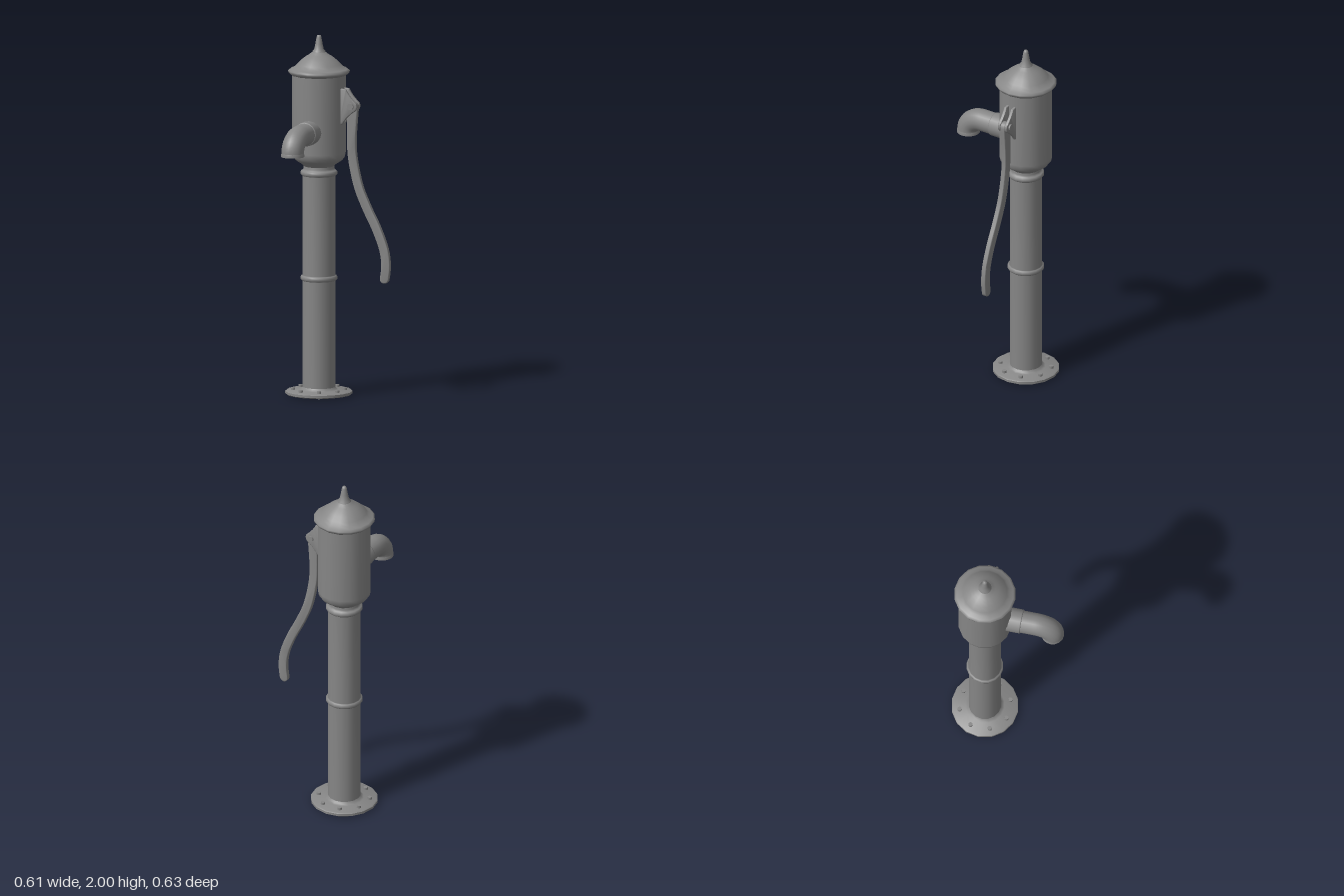
import * as THREE from 'three';
import { toCreasedNormals } from 'three/addons/utils/BufferGeometryUtils.js';

const AX = -0.12, AZ = -0.13; // axis of the column
const material = new THREE.MeshStandardMaterial({ color: 0x868686 });
const doubleSided = new THREE.MeshStandardMaterial({ color: 0x868686, side: THREE.DoubleSide });

function add(parent, name, geometry, x = 0, y = 0, z = 0, mat = material) {
  const mesh = new THREE.Mesh(geometry, mat);
  mesh.name = name;
  mesh.position.set(x, y, z);
  parent.add(mesh);
}

// Smooth turned part
function lathe(points) {
  return new THREE.LatheGeometry(points.map(([r, y]) => new THREE.Vector2(r, y)), 16);
}

// Rounded bead around a tube of radius r
function bead(r, y, h, out) {
  const pts = [];
  for (let i = 0; i <= 6; i++) {
    const a = -Math.PI / 2 + (i / 6) * Math.PI;
    pts.push([r + Math.cos(a) * out, y + Math.sin(a) * h]);
  }
  return pts;
}

// Outline of a strip of varying width along a curve, rounded at both ends
function stripShape(points, width) {
  const curve = new THREE.SplineCurve(points.map(([x, y]) => new THREE.Vector2(x, y)));
  const left = [], right = [], n = 36;
  for (let i = 0; i <= n; i++) {
    const t = i / n, p = curve.getPoint(t), d = curve.getTangent(t), w = width(t);
    left.push(new THREE.Vector2(p.x - d.y * w, p.y + d.x * w));
    right.unshift(new THREE.Vector2(p.x + d.y * w, p.y - d.x * w));
  }
  const cap = (t) => {
    const p = curve.getPoint(t), d = curve.getTangent(t), w = width(t), out = [];
    const start = Math.atan2(d.x, -d.y) + (t === 1 ? 0 : Math.PI);
    for (let i = 1; i < 8; i++) {
      const a = start - (i / 8) * Math.PI;
      out.push(new THREE.Vector2(p.x + Math.cos(a) * w, p.y + Math.sin(a) * w));
    }
    return out;
  };
  return new THREE.Shape([...left, ...cap(1), ...right, ...cap(0)]);
}

// Flat plate with softened edges
function slab(shape, depth, bevel) {
  const g = new THREE.ExtrudeGeometry(shape, {
    depth: depth - 2 * bevel, bevelEnabled: true, bevelThickness: bevel,
    bevelSize: bevel, bevelOffset: -bevel, bevelSegments: 2, curveSegments: 10,
  });
  g.translate(0, 0, -depth / 2 + bevel);
  return toCreasedNormals(g, 1);
}

export function createModel() {
  const model = new THREE.Group();
  model.name = 'handPump';

  // Base flange and hollow column with beads
  const column = new THREE.Group();
  column.name = 'column';
  column.position.set(AX, 0, AZ);
  model.add(column);
  add(column, 'baseFlange', toCreasedNormals(lathe([
    [0.084, 0.06], [0.09, 0.03], [0.112, 0.005], [0.178, 0.005], [0.185, 0.01], [0.185, 0.023],
    [0.178, 0.028], [0.108, 0.03], [0.097, 0.036], [0.09, 0.046],
  ]), 0.9));
  add(column, 'pipe', lathe([
    [0.09, 0.03], ...bead(0.09, 0.652, 0.016, 0.012), ...bead(0.09, 1.235, 0.016, 0.012),
    [0.084, 1.26], [0.084, 1.29],
  ]));
  add(column, 'pipeLining', lathe([[0, 1.2], [0.084, 1.2], [0.084, 0.05]]));
  for (let i = 0; i < 8; i++) {
    const a = ((i + 0.5) / 8) * Math.PI * 2;
    add(column, 'flangeBolt', new THREE.CylinderGeometry(0.012, 0.014, 0.042, 8),
      Math.sin(a) * 0.142, 0.021, Math.cos(a) * 0.142);
  }

  // Pump barrel, domed cap and finial
  add(column, 'barrel', lathe([
    [0.08, 1.268], [0.09, 1.279], [0.105, 1.291], [0.128, 1.305], [0.142, 1.323],
    [0.147, 1.35], [0.147, 1.785],
  ]));
  add(column, 'cap', lathe([
    [0.14, 1.776], [0.155, 1.78], [0.167, 1.791], [0.17, 1.803], [0.158, 1.812],
    [0.137, 1.82], [0.123, 1.837], [0.1, 1.86], [0.077, 1.878], [0.06, 1.888],
    [0.046, 1.898], [0.036, 1.906],
  ]));
  add(column, 'finial', lathe([
    [0.038, 1.898], [0.036, 1.91], [0.026, 1.922], [0.02, 1.95], [0.014, 1.985], [0.01, 1.997], [0, 2],
  ]));

  // Spout with collar, bent tube and open mouth
  const spout = new THREE.Group();
  spout.name = 'spout';
  spout.position.set(AX, 1.475, 0);
  model.add(spout);
  const collar = lathe([[0.067, -0.04], [0.067, 0.072], [0.066, 0.077], [0.06, 0.078]]);
  add(spout, 'spoutCollar', collar.rotateX(Math.PI / 2));
  const path = new THREE.CurvePath();
  const v = (y, z) => new THREE.Vector3(0, y, z);
  path.add(new THREE.LineCurve3(v(0, 0), v(0, 0.15)));
  path.add(new THREE.CubicBezierCurve3(v(0, 0.15), v(0, 0.207), v(-0.035, 0.249), v(-0.08, 0.249)));
  path.add(new THREE.LineCurve3(v(-0.08, 0.249), v(-0.095, 0.249)));
  add(spout, 'spoutTube', new THREE.TubeGeometry(path, 28, 0.062, 16));
  add(spout, 'spoutLining', new THREE.TubeGeometry(path, 28, 0.052, 16), 0, 0, 0, doubleSided);
  add(spout, 'spoutLip', toCreasedNormals(lathe([
    [0.052, -0.08], [0.052, -0.097], [0.064, -0.097], [0.064, -0.085], [0.062, -0.078],
  ]), 0.9), 0, 0, 0.249);

  // Twin-plate bracket carrying the handle pivot
  const bracket = new THREE.Group();
  bracket.name = 'handleBracket';
  bracket.position.z = AZ;
  model.add(bracket);
  const plate = new THREE.Shape();
  plate.moveTo(0.01, 1.515);
  plate.lineTo(0.03, 1.515);
  plate.quadraticCurveTo(0.045, 1.545, 0.09, 1.583);
  plate.absarc(0.08, 1.617, 0.035, -1.2, 0.5, false);
  plate.quadraticCurveTo(0.07, 1.67, 0.05, 1.71);
  plate.lineTo(0.01, 1.715);
  plate.closePath();
  for (const s of [-1, 1]) {
    add(bracket, 'bracketPlate', slab(plate, 0.016, 0.004), 0, 0, s * 0.022);
    const head = new THREE.CylinderGeometry(0.018, 0.018, 0.011, 12).rotateX(Math.PI / 2);
    add(bracket, 'pivotHead', head, 0.08, 1.617, s * 0.034);
  }
  add(bracket, 'pivotPin', new THREE.CylinderGeometry(0.011, 0.011, 0.07, 12).rotateX(Math.PI / 2), 0.08, 1.617);

  // Long curved handle
  const lever = stripShape([
    [0.083, 1.612], [0.076, 1.45], [0.081, 1.33], [0.115, 1.175], [0.168, 1.05],
    [0.224, 0.94], [0.266, 0.83], [0.278, 0.74], [0.27, 0.667],
  ], (t) => 0.025 + 0.006 * Math.max(0, 1 - t * 8));
  add(model, 'handle', slab(lever, 0.028, 0.004), 0, 0, AZ);

  return model;
}
